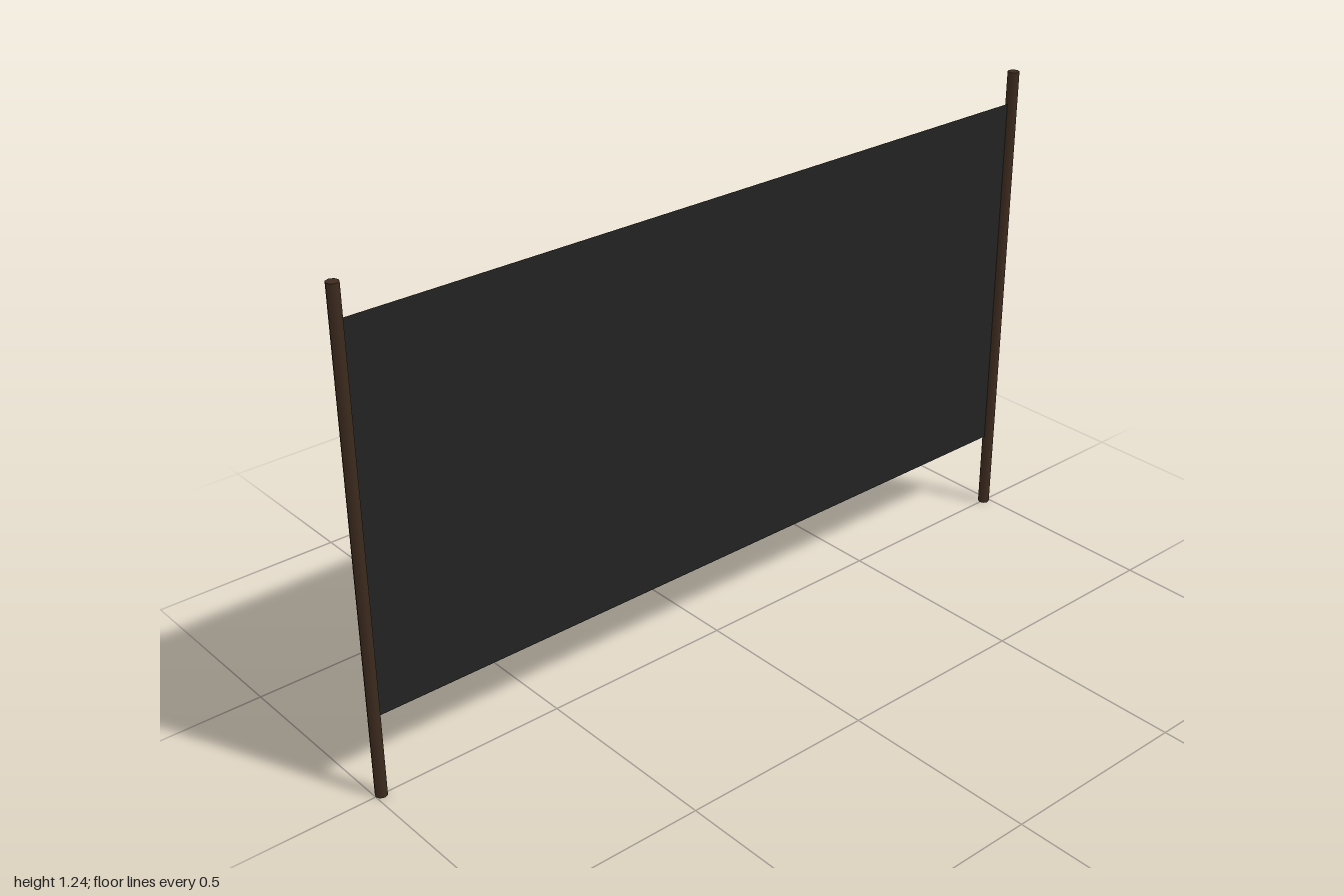
import * as THREE from 'three';

export function createModel() {
  const model = new THREE.Group();
  model.name = 'netBarrier';

  const wood = new THREE.MeshStandardMaterial({ color: 0x3d2b1f });
  wood.name = 'darkWood';
  const fabric = new THREE.MeshStandardMaterial({ color: 0x222222, side: THREE.DoubleSide });
  fabric.name = 'blackMesh';

  const postHeight = 1.236;
  const postRadius = 0.0148;
  const postX = 1 - postRadius;

  // Slim round posts at both ends
  const postGeometry = new THREE.CylinderGeometry(postRadius, postRadius, postHeight, 8);
  for (const [name, side] of [['leftPost', 1], ['rightPost', -1]]) {
    const post = new THREE.Mesh(postGeometry, wood);
    post.name = name;
    post.position.set(side * postX, postHeight / 2, 0);
    model.add(post);
  }

  // Flat sheet stretched between the posts
  const bottom = 0.206;
  const top = 1.154;
  const sheet = new THREE.Mesh(new THREE.PlaneGeometry(postX * 2, top - bottom), fabric);
  sheet.name = 'netSheet';
  sheet.position.y = (top + bottom) / 2;
  model.add(sheet);

  return model;
}
